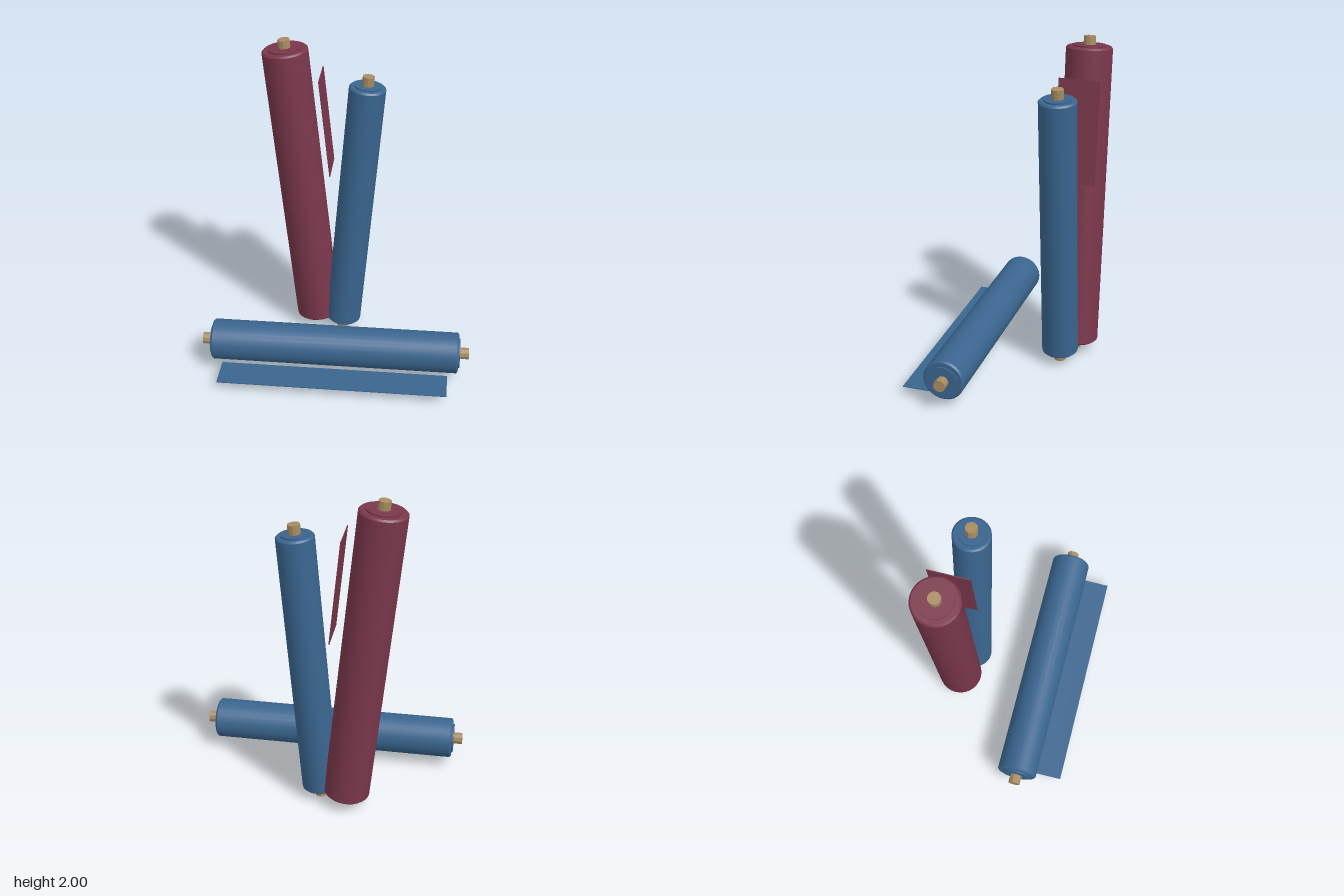
import * as THREE from 'three';
import { toCreasedNormals } from 'three/addons/utils/BufferGeometryUtils.js';

const blueCloth = new THREE.MeshStandardMaterial({ color: 0x3a658f });
const redCloth = new THREE.MeshStandardMaterial({ color: 0x7a374b });
const wood = new THREE.MeshStandardMaterial({ color: 0xa88c62 });
wood.name = 'wood';
blueCloth.name = 'blueCloth';
redCloth.name = 'redCloth';

// Rolled cloth along local y: chamfered rims and a slightly raised inner winding at each end
function rollGeometry(radius, length) {
  const h = length / 2, c = 0.01, inner = radius * 0.72;
  const end = [[radius, h - c], [radius - c, h], [inner, h], [inner, h + 0.009], [0, h + 0.009]];
  const points = [
    ...end.map(([r, y]) => new THREE.Vector2(r, -y)).reverse(),
    ...end.map(([r, y]) => new THREE.Vector2(r, y)),
  ];
  return toCreasedNormals(new THREE.LatheGeometry(points, 28), 0.5);
}

// One bolt: cloth roll on a faceted wooden core
function makeBolt(name, material, radius, length, coreLength) {
  const bolt = new THREE.Group();
  bolt.name = name;
  const roll = new THREE.Mesh(rollGeometry(radius, length), material);
  roll.name = 'clothRoll';
  const coreGeometry = toCreasedNormals(new THREE.CylinderGeometry(0.037, 0.037, coreLength, 10), 0.3);
  const core = new THREE.Mesh(coreGeometry, wood);
  core.name = 'woodenCore';
  bolt.add(roll, core);
  return bolt;
}

function makeFlap(name, material, size, position) {
  const flap = new THREE.Mesh(new THREE.BoxGeometry(...size), material);
  flap.name = name;
  flap.position.set(...position);
  return flap;
}

export function createModel() {
  const model = new THREE.Group();
  model.name = 'clothBolts';

  // Bolt lying across the front
  const lying = makeBolt('lyingBolt', blueCloth, 0.126, 1.54, 1.67);
  lying.position.set(0, 0.183, 0.198);
  lying.rotation.z = Math.PI / 2;

  // Two bolts leaning apart at the back
  const redBolt = makeBolt('leaningRedBolt', redCloth, 0.14, 1.87, 1.99);
  redBolt.position.set(-0.26, 1.005, -0.346);
  redBolt.rotation.z = 0.102;

  const blueBolt = makeBolt('leaningBlueBolt', blueCloth, 0.112, 1.673, 1.805);
  blueBolt.position.set(0.076, 0.903, -0.292);
  blueBolt.rotation.z = -0.085;

  // Loose cloth ends
  const lyingFlap = makeFlap('lyingClothEnd', blueCloth, [1.414, 0.005, 0.2], [0, 0.06, 0.38]);
  const redFlap = makeFlap('redClothEnd', redCloth, [0.005, 0.633, 0.25], [-0.107, 1.47, -0.343]);
  redFlap.rotation.z = 0.102;

  model.add(lying, redBolt, blueBolt, lyingFlap, redFlap);
  return model;
}
